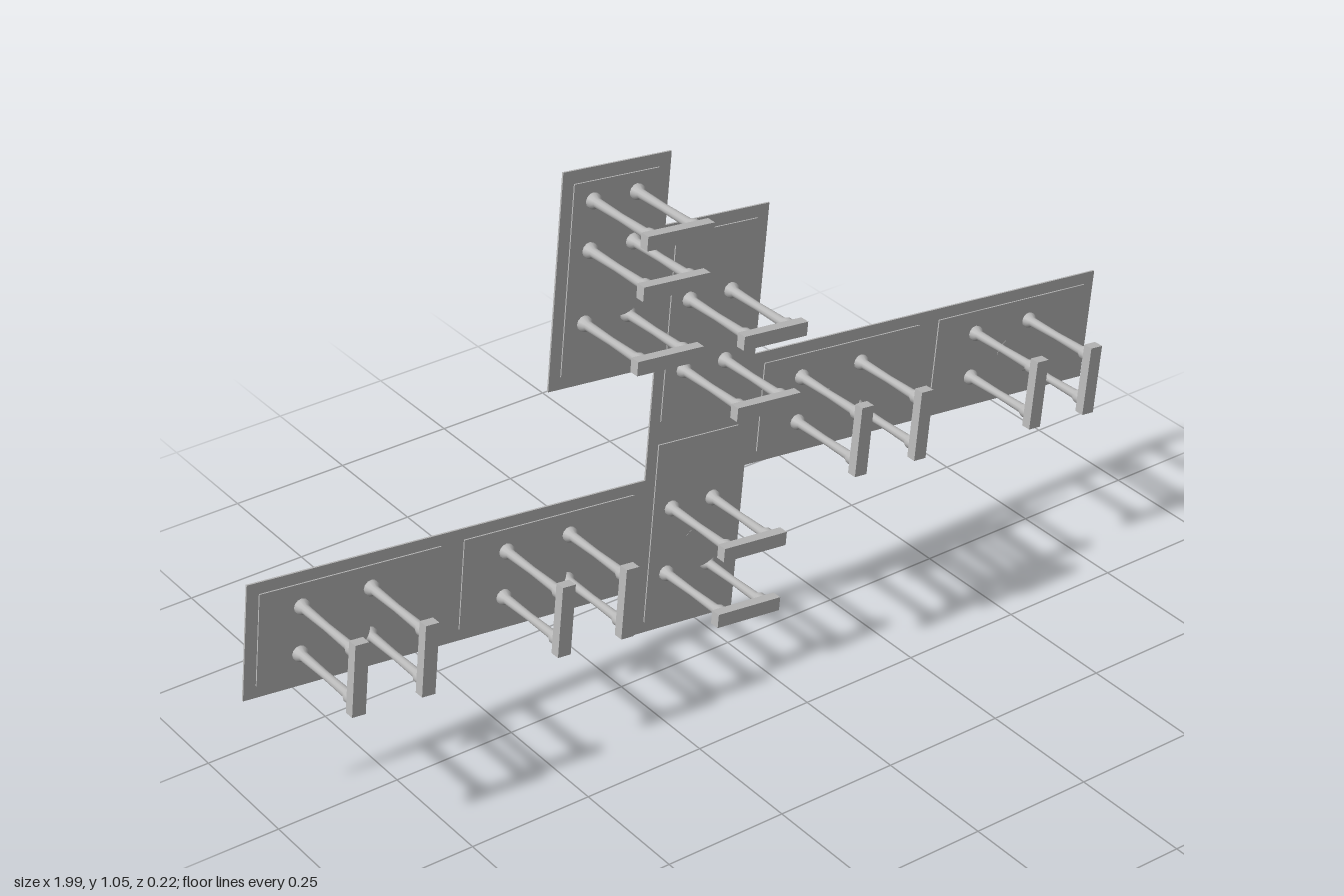
import * as THREE from 'three';

export function createModel() {
  const model = new THREE.Group();
  model.name = 'panelledStand';
  const grey = new THREE.MeshStandardMaterial({ color: 0xb8b8b8 });
  grey.name = 'plain grey';

  // Everything is laid out upright, then turned slightly as one piece
  const body = new THREE.Group();
  body.name = 'body';
  body.rotation.set(-0.0125, 0, -0.1125);
  model.add(body);

  const add = (parent, name, geometry, x, y, z) => {
    const mesh = new THREE.Mesh(geometry, grey);
    mesh.name = name;
    mesh.position.set(x, y, z);
    parent.add(mesh);
    return mesh;
  };

  // Stepped backing plate
  const outline = [
    [-0.397, 1.017], [-0.397, 0.585], [-0.158, 0.585], [-0.158, 0.347],
    [-1.018, 0.347], [-1.018, 0.112], [-0.158, 0.112], [-0.158, 0.013],
    [0.078, 0.013], [0.078, 0.324], [0.938, 0.324], [0.938, 0.56],
    [0.078, 0.56], [0.078, 0.871], [-0.16, 0.871], [-0.16, 1.017],
  ].map(([x, y]) => new THREE.Vector2(x, y));
  const back = -0.1, front = -0.096;
  add(body, 'backPlate', new THREE.ExtrudeGeometry(new THREE.Shape(outline),
    { depth: front - back, bevelEnabled: false }), 0, 0, back);

  // Raised inner panels: centre x, centre y, width, height
  const L = 0.43, W = 0.237, inset = 0.025, rise = 0.003;
  const panels = [
    [-0.803, 0.23, L, W], [-0.373, 0.23, L, W], [0.293, 0.442, L, W],
    [0.723, 0.442, L, W], [-0.279, 0.801, W, L], [-0.041, 0.656, W, L], [-0.041, 0.227, W, L],
  ];
  for (const [x, y, w, h] of panels) {
    add(body, 'raisedPanel', new THREE.BoxGeometry(w - 2 * inset, h - 2 * inset, rise),
      x, y, front + rise / 2);
  }

  // Brackets: a cross bar carried on two flared posts
  const barGeo = new THREE.BoxGeometry(0.145, 0.028, 0.021);
  const postGeo = new THREE.LatheGeometry([
    [0.0155, 0], [0.0155, 0.009], [0.0095, 0.017], [0.008, 0.09],
    [0.0095, 0.163], [0.014, 0.172], [0.014, 0.184],
  ].map(([r, h]) => new THREE.Vector2(r, h)), 12);
  postGeo.rotateX(Math.PI / 2);
  const bracket = (x, y, upright) => {
    const group = new THREE.Group();
    group.name = 'bracket';
    group.position.set(x, y, 0);
    if (upright) group.rotation.z = Math.PI / 2;
    add(group, 'crossBar', barGeo, 0, 0, 0.0985);
    for (const side of [-1, 1]) add(group, 'post', postGeo, side * 0.048, 0, front);
    body.add(group);
  };
  for (const x of [-0.906, -0.761, -0.469, -0.328]) bracket(x, 0.23, true);
  for (const x of [0.195, 0.34, 0.631, 0.77]) bracket(x, 0.44, true);
  for (const y of [0.953, 0.856, 0.711]) bracket(-0.282, y, false);
  for (const y of [0.71, 0.566, 0.275, 0.135]) bracket(-0.045, y, false);

  // Cones standing on their tips
  const coneGeo = new THREE.ConeGeometry(0.047, 0.046, 32);
  coneGeo.rotateX(-Math.PI / 2);
  const cones = [[-0.834, 0.225], [-0.407, 0.224], [0.266, 0.442],
    [0.703, 0.441], [-0.28, 0.782], [-0.046, 0.205]];
  for (const [x, y] of cones) add(body, 'cone', coneGeo, x, y, front + 0.023);

  return model;
}
